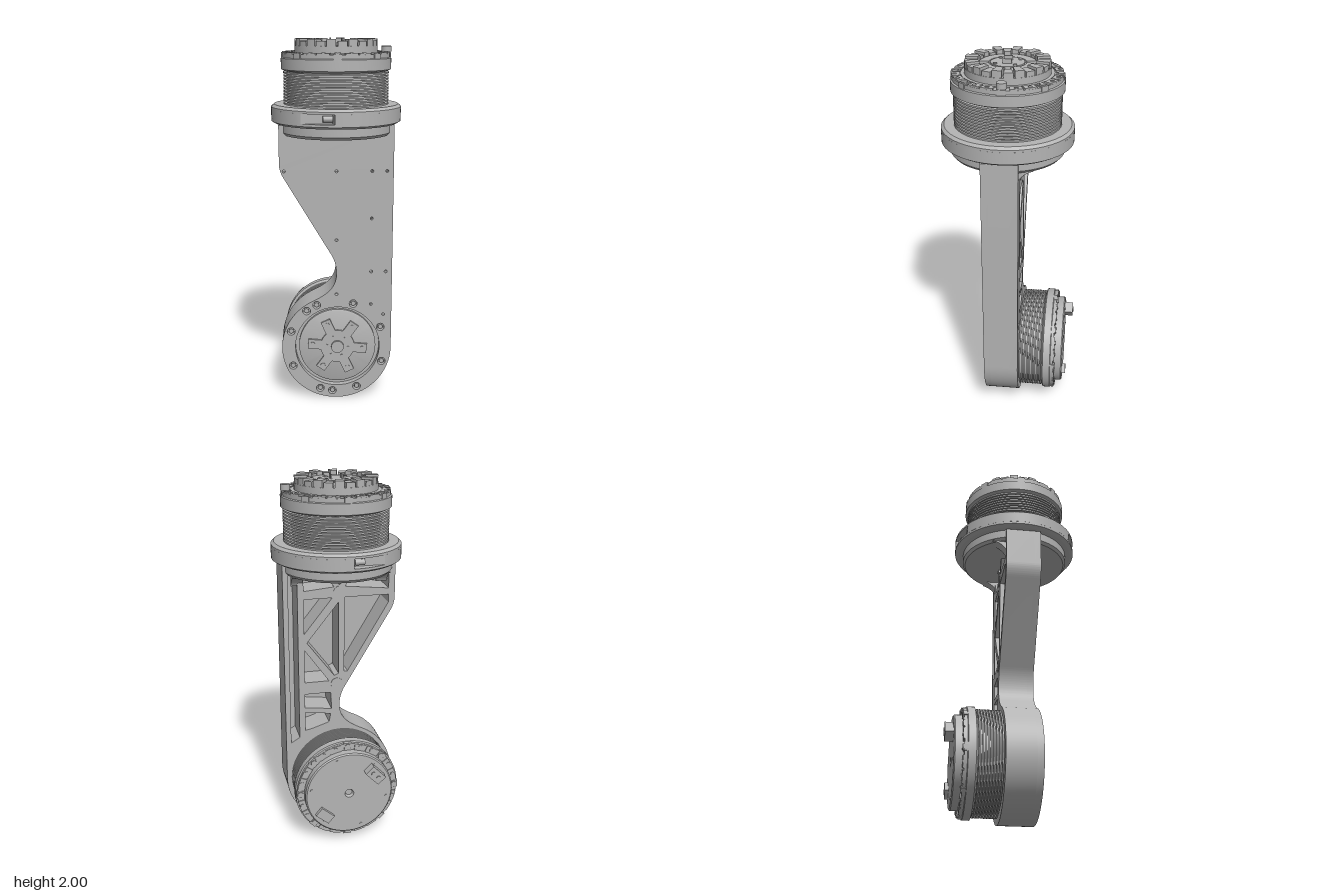
import * as THREE from 'three';
import { toCreasedNormals } from 'three/addons/utils/BufferGeometryUtils.js';

const metal = new THREE.MeshStandardMaterial({ color: 0xb4b4b4 });
metal.name = 'grey metal';

const TAU = Math.PI * 2;

function add(parent, name, geometry, x = 0, y = 0, z = 0) {
  const mesh = new THREE.Mesh(geometry, metal);
  mesh.name = name;
  mesh.position.set(x, y, z);
  parent.add(mesh);
  return mesh;
}

function lathe(points, segments = 64) {
  const geo = new THREE.LatheGeometry(points.map(([r, y]) => new THREE.Vector2(r, y)), segments);
  return toCreasedNormals(geo, 0.5);
}

function extrude(shape, depth, curveSegments = 32) {
  const geo = new THREE.ExtrudeGeometry(shape, { depth, bevelEnabled: false, curveSegments });
  return toCreasedNormals(geo, 0.5);
}

// Ring segment standing on y = 0, angles measured about +y
function wedge(r0, r1, a0, a1, height) {
  const s = new THREE.Shape();
  s.absarc(0, 0, r1, a0, a1, false);
  s.absarc(0, 0, r0, a1, a0, true);
  return extrude(s, height, 10).rotateX(-Math.PI / 2);
}

const polygon = (pts) => new THREE.Path(pts.map(([x, y]) => new THREE.Vector2(x, y)));
const circle = (x, y, r) => new THREE.Path().absarc(x, y, r, 0, TAU, true);

// Side outline of the arm: round foot, narrow waist, wide head (counter-clockwise)
const FOOT = 0.305;
function armOutline() {
  const s = new THREE.Shape();
  s.moveTo(0.305, 1.555);
  s.lineTo(0.305, FOOT);
  s.absarc(0, FOOT, 0.305, 0, Math.PI * 0.64 - TAU, true);
  s.bezierCurveTo(-0.05, 0.62, 0, 0.66, 0, 0.74);
  s.quadraticCurveTo(0, 0.8, -0.03, 0.85);
  s.lineTo(-0.28, 1.27);
  s.quadraticCurveTo(-0.305, 1.31, -0.305, 1.35);
  s.lineTo(-0.305, 1.555);
  return new THREE.Shape(s.getPoints(32).reverse());
}

function buildArm() {
  const arm = new THREE.Group();
  arm.name = 'arm';

  // Open-backed frame with truss pockets and a cable channel along the left edge
  const frame = armOutline();
  [
    [[0.277, 1.5], [0.277, 0.53], [0.228, 0.56], [0.228, 1.5]],
    [[0.195, 1.41], [0.195, 1.5], [0.085, 1.5], [0.03, 1.425]],
    [[0.05, 1.5], [-0.05, 1.5], [0, 1.435]],
    [[-0.27, 1.4], [-0.27, 1.5], [-0.085, 1.5], [-0.03, 1.425]],
    [[-0.27, 1.365], [-0.03, 1.365], [-0.025, 0.94], [-0.045, 0.94], [-0.27, 1.32]],
    [[0.04, 1.365], [0.195, 1.365], [0.195, 1.17]],
    [[0.005, 1.34], [0.18, 1.12], [0.03, 0.92], [0.005, 0.93]],
    [[0.195, 1.08], [0.195, 0.89], [0.06, 0.89]],
    [[0.05, 0.82], [0.195, 0.82], [0.195, 0.74], [0.045, 0.72]],
    [[0.05, 0.69], [0.195, 0.71], [0.195, 0.6], [0.15, 0.61], [0.06, 0.64]],
  ].forEach((p) => frame.holes.push(polygon(p)));
  add(arm, 'truss frame', extrude(frame, 0.155), 0, 0, -0.07);
  [[0, 1.395], [0.015, 0.87]].forEach(([x, y]) =>
    add(arm, 'truss boss', new THREE.CylinderGeometry(0.034, 0.034, 0.15, 24).rotateX(Math.PI / 2), x, y, 0.002));

  // Front plate with the hub opening and small screw holes
  const plate = armOutline();
  plate.holes.push(circle(0.005, 0.31, 0.235));
  [[-0.28, 1.31], [0, 1.31], [0.19, 1.31], [0.27, 1.31], [0.19, 1.05], [0, 0.93],
    [0.19, 0.75], [0.27, 0.75], [0, 0.62], [0.19, 0.56], [0.26, 0.5]]
    .forEach(([x, y]) => plate.holes.push(circle(x, y, 0.008)));
  const bolts = [160, 128, 114, 70, 25, 340, 295, 265, 250, 205].map((d) => {
    const a = THREE.MathUtils.degToRad(d);
    return [0.27 * Math.cos(a), 0.31 + 0.27 * Math.sin(a)];
  });
  bolts.forEach(([x, y]) => plate.holes.push(circle(x, y, 0.022)));
  add(arm, 'front plate', extrude(plate, 0.035), 0, 0, 0.085);
  bolts.forEach(([x, y]) =>
    add(arm, 'foot bolt', new THREE.CylinderGeometry(0.014, 0.014, 0.03, 6).rotateX(Math.PI / 2), x, y, 0.1));

  // Output hub inside the front opening
  const hub = new THREE.Group();
  hub.name = 'output hub';
  hub.position.set(0.005, 0.31, 0.078);
  hub.rotation.x = Math.PI / 2;
  arm.add(hub);
  add(hub, 'hub disc', lathe([[0, 0], [0.215, 0], [0.215, 0.024], [0.205, 0.028], [0, 0.028]]));
  add(hub, 'hub centre', new THREE.CylinderGeometry(0.095, 0.095, 0.014, 36), 0, 0.032, 0);
  for (let i = 0; i < 6; i++) {
    const spoke = new THREE.Group();
    spoke.name = 'hub spoke';
    spoke.rotation.y = (i * TAU) / 6 - 0.1;
    hub.add(spoke);
    add(spoke, 'spoke bar', new THREE.BoxGeometry(0.1, 0.014, 0.055), 0.115, 0.032, 0);
    add(spoke, 'spoke screw', new THREE.CylinderGeometry(0.013, 0.013, 0.006, 12), 0.14, 0.039, 0);
    add(spoke, 'centre screw', new THREE.CylinderGeometry(0.007, 0.007, 0.006, 8), 0.06, 0.039, 0);
  }
  add(hub, 'centre cap', new THREE.CylinderGeometry(0.035, 0.035, 0.014, 24), 0, 0.045, 0);

  // Gussets under the head
  const gusset = new THREE.Shape();
  gusset.moveTo(0.06, 1.44);
  gusset.quadraticCurveTo(0.085, 1.49, 0.14, 1.505);
  gusset.lineTo(0.06, 1.505);
  [-0.23, 0.23].forEach((x) =>
    add(arm, 'gusset', extrude(gusset, 0.06).rotateY(Math.PI / 2), x - 0.03, 0, 0));
  return arm;
}

// Finned motor body growing along +y
function buildMotor(finLength, houseLength, finCount) {
  const motor = new THREE.Group();
  const profile = [[0, 0], [0.262, 0]];
  const step = finLength / finCount;
  for (let i = 0; i < finCount; i++) {
    const y = i * step;
    profile.push([0.262, y + step * 0.25], [0.278, y + step * 0.25], [0.278, y + step * 0.8], [0.262, y + step * 0.8]);
  }
  profile.push([0.262, finLength], [0, finLength]);
  add(motor, 'cooling fins', lathe(profile));

  const h = houseLength;
  add(motor, 'housing', lathe([[0, 0], [0.27, 0], [0.29, 0.01], [0.29, h * 0.66], [0.282, h * 0.7],
    [0.282, h * 0.9], [0.236, h * 0.9], [0.236, h * 0.95], [0, h * 0.95]]), 0, finLength, 0);
  for (let i = 0; i < 24; i++) {
    const a = (i * TAU) / 24;
    const big = i % 3 === 0;
    const half = big ? 0.075 : 0.115;
    add(motor, 'rim tab', wedge(0.24, big ? 0.287 : 0.281, a - half, a + half, h * (big ? 0.35 : 0.38)), 0, finLength + h * 0.6, 0);
    const r = big ? 0.018 : 0.011;
    add(motor, 'rim bolt', new THREE.CylinderGeometry(r, r, 0.01, 6),
      0.266 * Math.cos(a), finLength + h * 0.96, 0.266 * Math.sin(a));
  }
  return motor;
}

function buildHead() {
  const head = new THREE.Group();
  head.name = 'head';
  head.position.z = 0.015;

  add(head, 'mounting flange', lathe([[0, 1.5], [0.285, 1.5], [0.298, 1.515], [0.298, 1.57], [0, 1.57]]));

  // Split clamp ring with a flat screw pocket at front and back
  add(head, 'clamp lower band', lathe([[0, 1.56], [0.325, 1.56], [0.345, 1.572], [0.345, 1.585], [0, 1.585]], 48));
  add(head, 'clamp upper band', lathe([[0, 1.635], [0.345, 1.635], [0.345, 1.647], [0.33, 1.66], [0, 1.66]], 48));
  const band = [];
  for (let i = 0; i < 144; i++) {
    const a = (i * TAU) / 144;
    const x = 0.345 * Math.cos(a);
    const pocket = x < -0.02 && x > -0.19;
    const r = pocket ? Math.min(0.345, 0.29 / Math.abs(Math.sin(a))) : 0.345;
    band.push(new THREE.Vector2(r * Math.cos(a), r * Math.sin(a)));
  }
  add(head, 'clamp middle band', extrude(new THREE.Shape(band), 0.05).rotateX(-Math.PI / 2), 0, 1.585, 0);
  [1, -1].forEach((s) =>
    add(head, 'clamp screw', new THREE.CylinderGeometry(0.016, 0.016, 0.05, 12).rotateZ(Math.PI / 2), -0.05, 1.61, s * 0.308));

  const motor = buildMotor(0.175, 0.1, 11);
  motor.name = 'upper motor';
  motor.position.y = 1.655;
  head.add(motor);

  // Toothed crown, petals and centre disc
  add(head, 'crown base', lathe([[0, 1.92], [0.218, 1.92], [0.218, 1.96], [0, 1.96]]));
  for (let i = 0; i < 24; i++) {
    const a = (i * TAU) / 24;
    add(head, 'crown tooth', wedge(0.15, 0.216, a + 0.015, a + 0.235, i % 2 ? 0.045 : 0.035), 0, 1.95, 0);
  }
  for (let i = 0; i < 4; i++) {
    const a = (i * TAU) / 4 + 0.25;
    add(head, 'petal', wedge(0.095, 0.143, a, a + 1.3, 0.025), 0, 1.95, 0);
    add(head, 'disc screw', new THREE.CylinderGeometry(0.01, 0.01, 0.01, 10),
      0.072 * Math.cos(a + 0.7), 1.978, 0.072 * Math.sin(a + 0.7));
  }
  add(head, 'centre disc', new THREE.CylinderGeometry(0.086, 0.086, 0.03, 40), 0, 1.962, 0);
  [-0.03, 0.03].forEach((x) => add(head, 'contact blade', new THREE.BoxGeometry(0.006, 0.03, 0.045), x, 1.985, 0));
  add(head, 'rim knob', new THREE.CylinderGeometry(0.026, 0.026, 0.03, 24), 0.265, 1.942, 0);
  return head;
}

function buildLowerMotor() {
  const motor = buildMotor(0.13, 0.075, 9);
  motor.name = 'lower motor';
  motor.position.set(0, 0.312, -0.07);
  motor.rotation.x = -Math.PI / 2;
  // Rear cover with a small centre bore
  add(motor, 'rear cover', lathe([[0, 0.19], [0.245, 0.19], [0.245, 0.24], [0.238, 0.246], [0.025, 0.246], [0.018, 0.23], [0, 0.23]]));
  for (let i = 0; i < 6; i++) {
    const a = (i * TAU) / 6 + 0.2;
    add(motor, 'cover screw', new THREE.CylinderGeometry(0.009, 0.009, 0.006, 8), 0.215 * Math.cos(a), 0.246, 0.215 * Math.sin(a));
  }
  // Cable sockets
  const small = add(motor, 'small socket', new THREE.BoxGeometry(0.09, 0.025, 0.055), 0.14, 0.253, -0.12);
  small.rotation.y = -0.7;
  small.position.z = -0.115;
  const large = new THREE.Group();
  large.name = 'large socket';
  large.position.set(-0.138, 0.265, 0.117);
  large.rotation.y = -0.8;
  motor.add(large);
  add(large, 'socket body', new THREE.BoxGeometry(0.1, 0.05, 0.06));
  [-0.02, 0.02].forEach((x) => add(large, 'socket pin', new THREE.CylinderGeometry(0.012, 0.012, 0.008, 12), x, 0.026, 0));
  return motor;
}

export function createModel() {
  const model = new THREE.Group();
  model.name = 'robot arm link';
  model.add(buildArm(), buildHead(), buildLowerMotor());
  return model;
}
